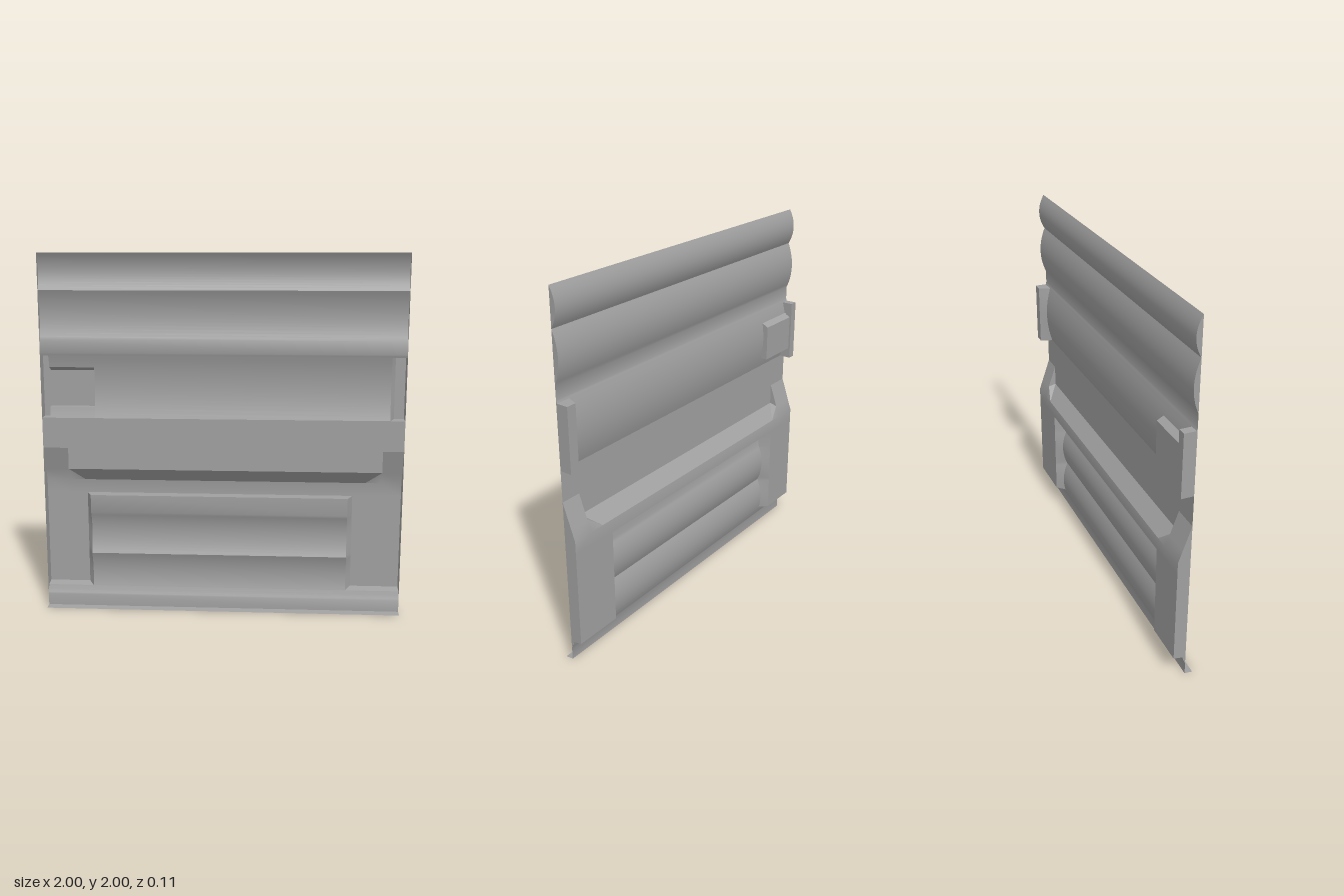
import * as THREE from 'three';
import { toCreasedNormals } from 'three/addons/utils/BufferGeometryUtils.js';

const FRONT = 0.012, BACK = -0.056, TAB = -0.045;

export function createModel() {
  const group = new THREE.Group();
  const grey = new THREE.MeshStandardMaterial({ color: 0xa0a0a0, side: THREE.DoubleSide });
  grey.name = 'panelGrey';

  // Collects triangles for one named sheet-metal part
  function part(name, build) {
    const pos = [];
    const tri = (a, b, c) => pos.push(...a, ...b, ...c);
    const quad = (a, b, c, d) => { tri(a, b, c); tri(a, c, d); };
    // surface between two point rows running downwards, left row first
    const ribbon = (l, r) => {
      for (let i = 0; i < l.length - 1; i++) quad(l[i], l[i + 1], r[i + 1], r[i]);
    };
    // profile of [y, z] points swept from x0 to x1
    const sheet = (x0, x1, prof) => ribbon(at(x0, prof), at(x1, prof));
    build({ tri, quad, ribbon, sheet });
    let geo = new THREE.BufferGeometry();
    geo.setAttribute('position', new THREE.Float32BufferAttribute(pos, 3));
    geo = toCreasedNormals(geo, 0.4);
    const mesh = new THREE.Mesh(geo, grey);
    mesh.name = name;
    group.add(mesh);
  }
  const at = (x, prof) => prof.map(([y, z]) => [x, y, z]);

  // Shallow curved groove between two heights, sampled from ya down to yb
  function groove(top, bottom, depth, ya = top, yb = bottom, n = 14) {
    const out = [];
    for (let i = 0; i <= n; i++) {
      const y = ya + (yb - ya) * i / n;
      const t = (y - bottom) / (top - bottom);
      out.push([y, FRONT - depth * 4 * t * (1 - t)]);
    }
    return out;
  }
  const mid = (a, b, n) => groove(1.46, 1.1, 0.03, a, b, n);
  const low = (a, b, n) => groove(0.32, 0.07, 0.027, a, b, n);
  const upper1 = groove(2, 1.8, 0.03), upper2 = groove(1.8, 1.53, 0.03);

  // Grooved upper sheet, with gaps for the recesses
  part('upperPanel', ({ sheet }) => {
    sheet(-1, 1, upper1);
    sheet(-1, 1, upper2);
    sheet(-1, 1, [[1.53, FRONT], [1.46, FRONT]]);
    sheet(-1, 1, mid(1.46, 1.445, 2));
    sheet(-0.705, 0.92, mid(1.445, 1.1));
    sheet(-0.955, -0.705, mid(1.445, 1.38, 4));
    sheet(-0.955, -0.705, mid(1.16, 1.1, 4));
    sheet(-1, 1, [[1.1, FRONT], [0.93, FRONT]]);
  });

  // Edge recesses pressed to the back
  part('edgeRecesses', ({ quad, ribbon, sheet }) => {
    const floor = [[1.445, BACK], [1.1, BACK]];
    sheet(-1, -0.955, floor);
    sheet(0.945, 1, floor);
    const right = mid(1.445, 1.1);
    ribbon(at(0.92, right), at(0.945, right.map(([y]) => [y, BACK])));
    for (const y of [1.445, 1.1]) {
      const z = mid(y, y, 1)[0][1];
      quad([-1, y, BACK], [-0.955, y, BACK], [-0.955, y, z], [-1, y, z]);
      quad([0.945, y, BACK], [1, y, BACK], [1, y, z], [0.92, y, z]);
    }
    for (const edge of [mid(1.445, 1.38, 4), [[1.38, TAB], [1.16, TAB]], mid(1.16, 1.1, 4)])
      ribbon(at(-0.955, edge.map(([y]) => [y, BACK])), at(-0.955, edge));
  });

  // Latch pocket beside the edge recess
  part('latchPocket', ({ ribbon, sheet }) => {
    sheet(-0.955, -0.705, [mid(1.38, 1.38, 1)[0], [1.36, TAB], [1.16, TAB], mid(1.16, 1.16, 1)[0]]);
    const edge = mid(1.38, 1.16);
    ribbon(at(-0.705, edge.map(([y]) => [Math.min(y, 1.36), TAB])), at(-0.705, edge));
  });

  // Overhanging ledge that ends the upper sheet
  const ledgeL = -0.86, ledgeR = 0.885, tipL = -0.78, tipR = 0.8;
  const slopeZ = y => FRONT + (BACK - FRONT) * (0.93 - y) / 0.195;
  part('overhang', ({ tri, quad, sheet }) => {
    sheet(ledgeL, ledgeR, [[0.93, FRONT], [0.81, FRONT]]);
    quad([ledgeL, 0.81, FRONT], [tipL, 0.735, BACK], [tipR, 0.735, BACK], [ledgeR, 0.81, FRONT]);
    for (const [x, tip] of [[ledgeL, tipL], [ledgeR, tipR]]) {
      const a = [x, 0.81, FRONT], b = [x, 0.8, slopeZ(0.8)];
      tri([x, 0.93, FRONT], b, a);
      tri(a, b, [tip, 0.735, BACK]);
    }
  });

  // Recessed frame: sloped shoulders, header and two pillars
  part('recessedFrame', ({ tri, sheet }) => {
    const pillar = [[0.93, FRONT], [0.8, slopeZ(0.8)], [0.735, BACK], [0.66, BACK]];
    sheet(-1, ledgeL, pillar);
    sheet(ledgeR, 1, pillar);
    sheet(ledgeL, ledgeR, [[0.735, BACK], [0.66, BACK]]);
    tri([ledgeL, 0.8, slopeZ(0.8)], [ledgeL, 0.735, BACK], [tipL, 0.735, BACK]);
    tri([ledgeR, 0.8, slopeZ(0.8)], [tipR, 0.735, BACK], [ledgeR, 0.735, BACK]);
    sheet(-1, -0.77, [[0.66, BACK], [0.13, BACK]]);
    sheet(0.73, 1, [[0.66, BACK], [0.13, BACK]]);
  });

  // Raised lower panel with grooves, its edge walls and the bottom lip
  const sillZ = low(0.12, 0.12, 1)[0][1];
  part('lowerPanel', ({ quad, ribbon, sheet }) => {
    const runs = [[[0.66, FRONT], [0.56, FRONT]], groove(0.56, 0.32, 0.027), low(0.32, 0.12)];
    for (const run of runs) {
      sheet(-0.74, 0.7, run);
      const base = run.map(([y]) => [Math.max(y, 0.13), BACK]);
      ribbon(at(-0.77, base), at(-0.74, run));
      ribbon(at(0.7, run), at(0.73, base));
    }
    quad([-0.74, 0.66, FRONT], [0.7, 0.66, FRONT], [0.73, 0.66, BACK], [-0.77, 0.66, BACK]);
    quad([-1, 0.13, BACK], [-1, 0.12, sillZ], [-0.74, 0.12, sillZ], [-0.77, 0.13, BACK]);
    quad([0.73, 0.13, BACK], [0.7, 0.12, sillZ], [1, 0.12, sillZ], [1, 0.13, BACK]);
    sheet(-1, 1, low(0.12, 0.07, 5));
    sheet(-1, 1, [[0.07, FRONT], [0.005, FRONT]]);
    sheet(-1, 1, [[0.005, FRONT], [0, 0.056]]);
  });

  // Flat end caps closing every groove and recess at both sides
  part('endCaps', ({ ribbon }) => {
    const profiles = [
      upper1, upper2, mid(1.46, 1.445, 2),
      [[1.445, BACK], [1.1, BACK]],
      [[0.93, FRONT], [0.735, BACK], [0.13, BACK], [0.12, sillZ], [0.07, FRONT]],
    ];
    for (const x of [-1, 1]) for (const p of profiles) {
      const flat = at(x, p.map(([y]) => [y, FRONT]));
      if (x > 0) ribbon(flat, at(x, p)); else ribbon(at(x, p), flat);
    }
  });

  return group;
}
